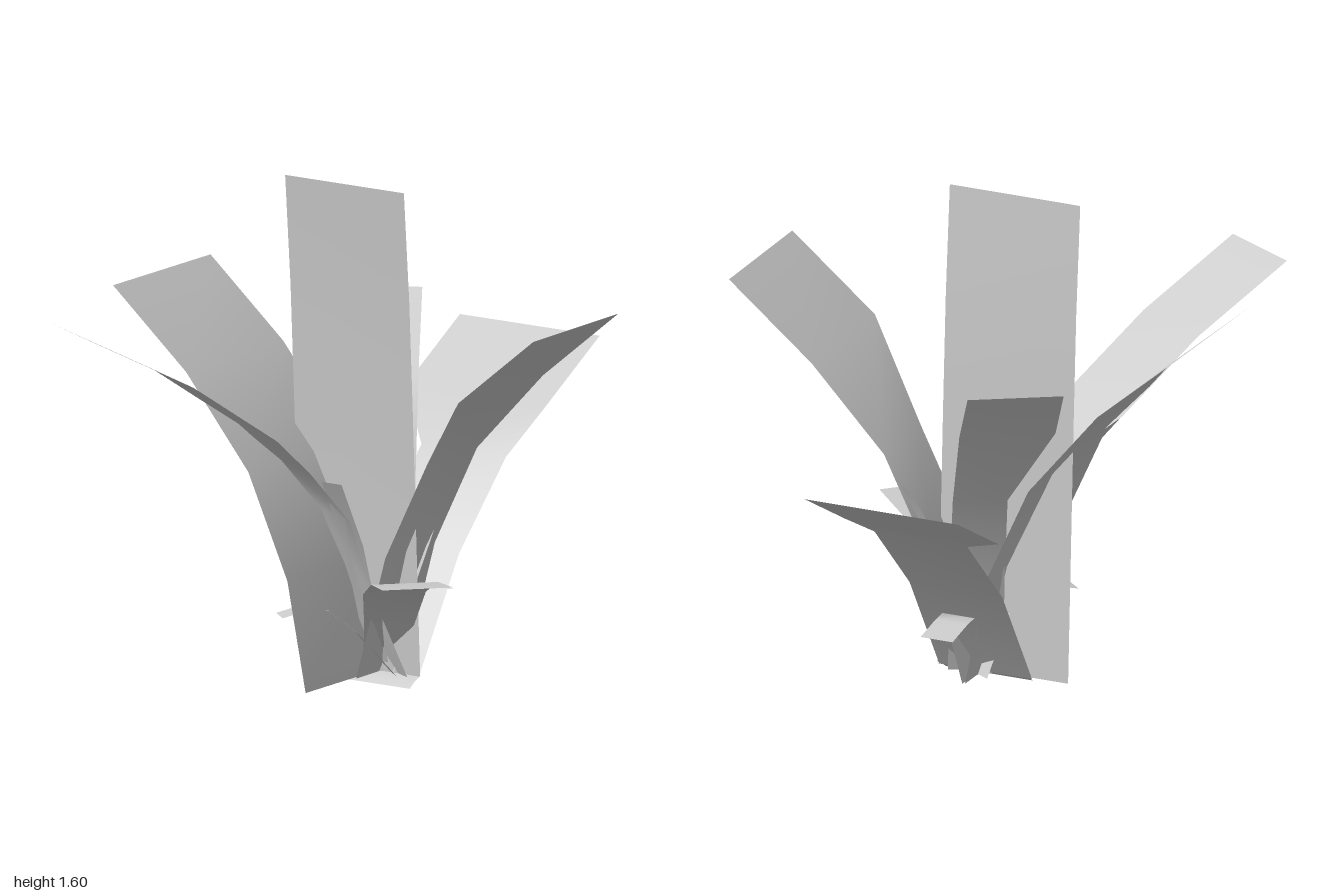
import * as THREE from 'three';

const material = new THREE.MeshStandardMaterial({ color: 0xcccccc, side: THREE.DoubleSide });

// A leaf card growing from the centre towards (dx, dz).
// Each row: [distance outwards, height, offset of one edge, offset of the other].
function leaf(name, dx, dz, rows) {
  const l = Math.hypot(dx, dz);
  const ux = dx / l, uz = dz / l;
  const pos = [], uv = [], index = [];
  rows.forEach(([r, y, a, b], i) => {
    [a, b].forEach((o, j) => {
      pos.push(ux * r + uz * o, y, uz * r - ux * o);
      uv.push(j, i / (rows.length - 1));
    });
    if (i > 0) {
      const k = 2 * i;
      index.push(k - 2, k - 1, k, k - 1, k + 1, k);
    }
  });
  const g = new THREE.BufferGeometry();
  g.setAttribute('position', new THREE.Float32BufferAttribute(pos, 3));
  g.setAttribute('uv', new THREE.Float32BufferAttribute(uv, 2));
  g.setIndex(index);
  g.computeVertexNormals();
  const mesh = new THREE.Mesh(g, material);
  mesh.name = name;
  return mesh;
}

// Adds the same edge offsets to every point of a [distance, height] path
const strip = (a, b, path) => path.map(([r, y]) => [r, y, a, b]);

export function createModel() {
  const plant = new THREE.Group();
  plant.name = 'plant';
  plant.add(
    // Large leaves
    leaf('leftLeaf', 1, 0, [
      ...strip(-0.145, 0.13, [[-0.03, 0.03], [0.08, 0.43], [0.24, 0.755]]),
      ...strip(-0.34, 0.13, [[0.49, 1.02], [0.775, 1.255]]),
    ]),
    leaf('rightLeaf', -1, -0.02,
      strip(-0.125, 0.4, [[0.04, 0.03], [0.11, 0.38], [0.26, 0.71], [0.5, 1.0], [0.78, 1.24]])),
    leaf('backLeaf', 0, -1, [
      ...strip(-0.11, 0.21, [[0, 0.03], [0.22, 0.38], [0.48, 0.64]]),
      ...strip(-0.11, 0.42, [[0.7, 0.76], [1.0, 0.93]]),
    ]),
    leaf('uprightLeaf', 0, 1,
      strip(-0.33, 0.12, [[0.01, 0.03], [0.03, 0.45], [0.05, 0.87], [0.07, 1.24], [0.1, 1.6]])),
    leaf('frontRightLeaf', -0.49, 0.87, [
      ...strip(-0.1, 0.1, [[-0.01, 0.03], [0.1, 0.28], [0.19, 0.55], [0.33, 0.72]]),
      ...strip(-0.19, 0.1, [[0.445, 0.835], [0.736, 1.037], [1.08, 1.215]]),
    ]),
    leaf('backRightLeaf', -0.52, -0.85, [
      ...strip(-0.073, 0.1, [[0, 0.03], [0.05, 0.35], [0.13, 0.64]]),
      ...strip(-0.073, 0.23, [[0.315, 0.93], [0.54, 1.14]]),
    ]),

    // Middle leaves
    leaf('frontLeftLeaf', 1, 1, [
      [-0.05, 0.03, -0.077, 0.053], [0.09, 0.2, -0.1, 0.06], [0.23, 0.335, -0.13, 0.07],
      [0.4, 0.405, -0.136, 0.077], [0.59, 0.43, -0.135, 0.09],
    ]),
    leaf('frontShoot', 0, 1, strip(-0.075, 0, [[0, 0.03], [0.07, 0.22], [0.15, 0.46], [0.27, 0.68]])),
    leaf('backShoot', 0.59, -0.81, strip(-0.034, 0.034, [[0, 0.03], [0.06, 0.28], [0.14, 0.5], [0.235, 0.68]])),

    // Small drooping leaves
    leaf('smallFrontLeaf', -0.65, 0.76, strip(0, 0.08, [[0, 0.03], [0.12, 0.17], [0.22, 0.255], [0.29, 0.26], [0.37, 0.24]])),
    leaf('smallBackLeaf', 0, -1, strip(-0.03, 0.08, [[0, 0.03], [0.07, 0.19], [0.13, 0.265], [0.2, 0.26], [0.31, 0.24]])),
    leaf('baseLeaf', 0, 1, strip(-0.185, 0.115, [[0, 0.03], [0.03, 0.02], [0.06, 0]])),
  );
  return plant;
}
